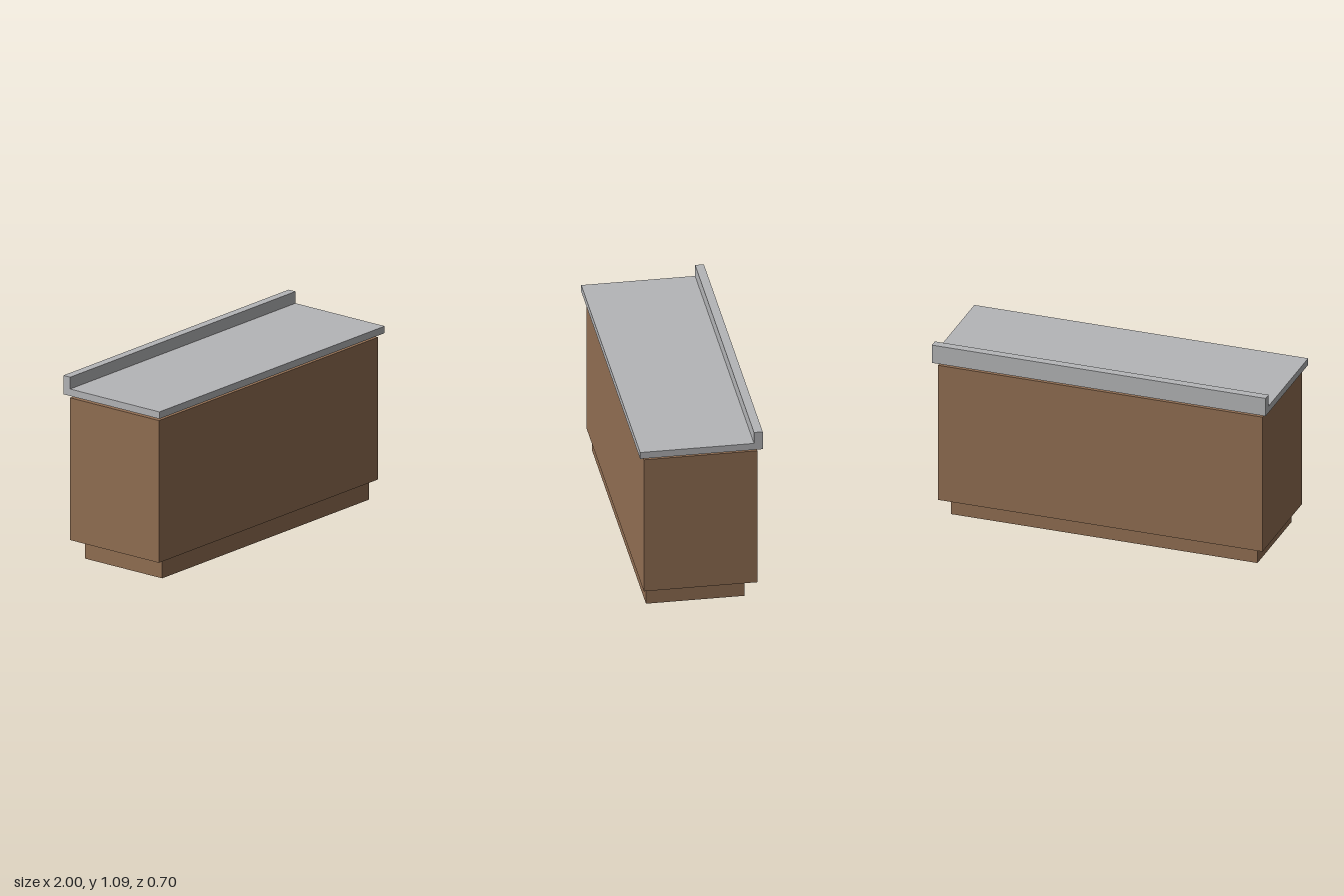
import * as THREE from 'three';

export function createModel() {
  const group = new THREE.Group();
  const wood = new THREE.MeshStandardMaterial({ color: 0x916e52 });
  wood.name = 'brown wood';
  const stone = new THREE.MeshStandardMaterial({ color: 0xb4b5b7 });
  stone.name = 'grey worktop';

  // Box spanning y0..y1 and z0..z1, centred on x
  const block = (name, width, y0, y1, z0, z1) => {
    const mesh = new THREE.Mesh(new THREE.BoxGeometry(width, y1 - y0, z1 - z0), wood);
    mesh.position.set(0, (y0 + y1) / 2, (z0 + z1) / 2);
    mesh.name = name;
    group.add(mesh);
  };
  block('plinth', 1.836, 0, 0.108, -0.259, 0.303);
  block('cabinet', 1.944, 0.11, 0.953, -0.324, 0.324);

  // Worktop with rear upstand: one L-shaped profile, floating just above the cabinet
  const profile = new THREE.Shape([
    [-0.35, 0.976], [0.35, 0.976], [0.35, 1.017],
    [-0.3, 1.017], [-0.3, 1.087], [-0.35, 1.087],
  ].map(([z, y]) => new THREE.Vector2(-z, y)));
  const geometry = new THREE.ExtrudeGeometry(profile, { depth: 2, bevelEnabled: false });
  geometry.translate(0, 0, -1).rotateY(Math.PI / 2);
  const worktop = new THREE.Mesh(geometry, stone);
  worktop.name = 'worktop';
  group.add(worktop);

  return group;
}
